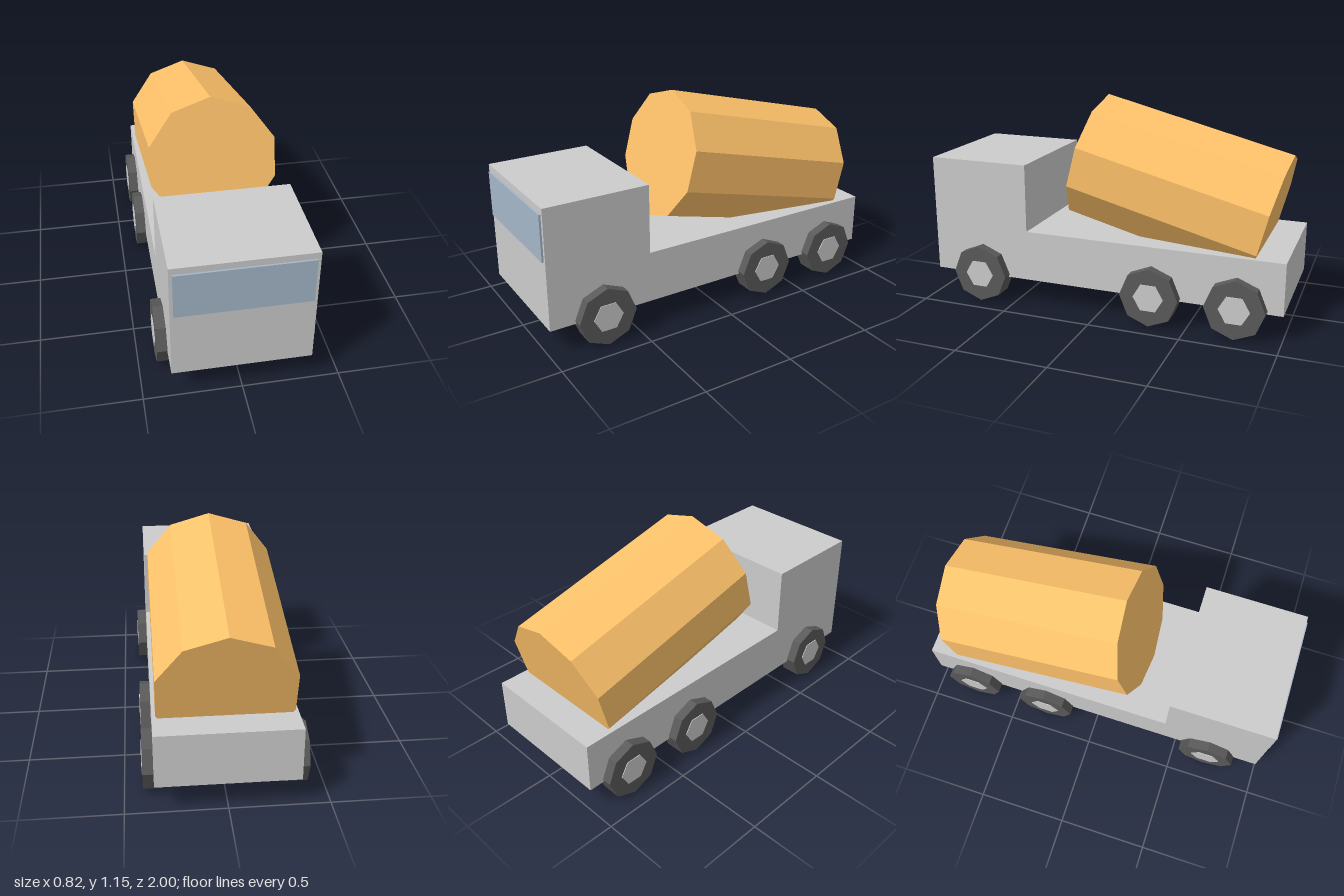
import * as THREE from 'three';

const paint = (color) => new THREE.MeshStandardMaterial({ color, flatShading: true });

export function createModel() {
  const truck = new THREE.Group();
  truck.name = 'mixerTruck';
  const grey = paint(0xcccccc);
  const rubber = paint(0x5a5a5a);
  const glass = paint(0xa4b6c8);
  const orange = paint(0xffc26a);

  const add = (parent, name, geometry, material, x = 0, y = 0, z = 0) => {
    const mesh = new THREE.Mesh(geometry, material);
    mesh.name = name;
    mesh.position.set(x, y, z);
    parent.add(mesh);
    return mesh;
  };

  // Cab and flat bed: one L-shaped side profile (z, y) extruded across the width
  const width = 0.71;
  const profile = new THREE.Shape(
    [[-1, 0.145], [0.99, 0.145], [0.99, 0.8], [0.42, 0.8], [0.42, 0.425], [-1, 0.425]]
      .map(([z, y]) => new THREE.Vector2(z, y))
  );
  const bodyGeometry = new THREE.ExtrudeGeometry(profile, { depth: width, bevelEnabled: false });
  bodyGeometry.translate(0, 0, -width / 2).rotateY(-Math.PI / 2);
  add(truck, 'cabAndBed', bodyGeometry, grey);

  // Windscreen, standing slightly proud of the cab
  add(truck, 'windscreen', new THREE.BoxGeometry(0.676, 0.247, 0.03), glass, 0, 0.641, 0.985);

  // Ten-sided drum, tipped up towards the cab
  const drumGeometry = new THREE.CylinderGeometry(0.355, 0.355, 1.062, 10).rotateX(Math.PI / 2);
  const drum = add(truck, 'drum', drumGeometry, orange, 0, 0.678, -0.358);
  drum.rotation.x = -0.25;

  // Three axles of octagonal wheels with hexagonal hubs
  const tyreGeometry = new THREE.CylinderGeometry(0.16, 0.16, 0.107, 8).rotateZ(Math.PI / 2);
  const hubGeometry = new THREE.CylinderGeometry(0.083, 0.083, 0.115, 6).rotateZ(Math.PI / 2);
  [['front', 0.694], ['middle', -0.303], ['rear', -0.759]].forEach(([axle, z]) => {
    [['Left', 1], ['Right', -1]].forEach(([side, sign]) => {
      const wheel = new THREE.Group();
      wheel.name = `${axle}${side}Wheel`;
      wheel.position.set(sign * 0.355, 0.162, z);
      add(wheel, 'tyre', tyreGeometry, rubber);
      add(wheel, 'hub', hubGeometry, grey);
      truck.add(wheel);
    });
  });

  return truck;
}
